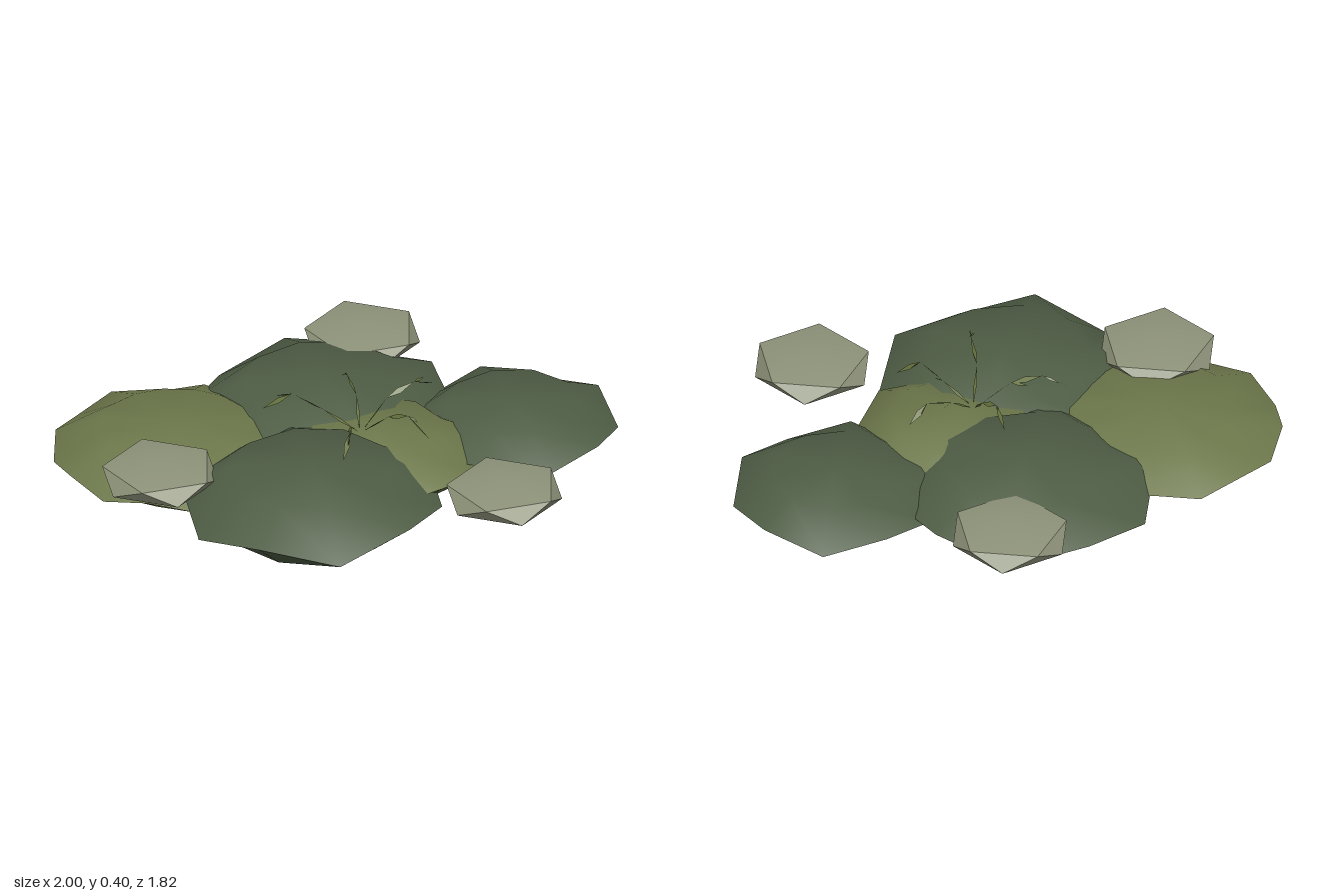
import * as THREE from 'three';
import { toCreasedNormals } from 'three/addons/utils/BufferGeometryUtils.js';

const make = (name, color, extra = {}) => {
  const m = new THREE.MeshStandardMaterial({ color, ...extra });
  m.name = name;
  return m;
};

// Flattened cushion: two smooth caps meeting at a sharp zigzag rim
function cushion({ rx, rz, h, n, phase, zig }) {
  const pos = [], idx = [];
  for (const s of [1, -1]) {
    const base = pos.length / 3;
    pos.push(0, s * h, 0);
    for (const [k, y] of [[0.63, s * h * 0.83], [1, 0]]) {
      for (let i = 0; i < n; i++) {
        const a = phase + (i / n) * Math.PI * 2;
        pos.push(Math.cos(a) * rx * k, k < 1 ? y : (i % 2 ? -zig : zig), Math.sin(a) * rz * k);
      }
    }
    const tri = (a, b, c) => (s > 0 ? idx.push(a, b, c) : idx.push(a, c, b));
    for (let i = 0; i < n; i++) {
      const j = (i + 1) % n;
      const a = base + 1 + i, b = base + 1 + j;
      tri(base, b, a);
      tri(a, b, a + n);
      tri(b, b + n, a + n);
    }
  }
  const g = new THREE.BufferGeometry();
  g.setAttribute('position', new THREE.Float32BufferAttribute(pos, 3));
  g.setIndex(idx);
  g.computeVertexNormals();
  return g;
}

// Slim diamond leaf from p to q, tilted about its length
function leaf(p, q, width, tilt) {
  const dir = q.clone().sub(p).normalize();
  const side = new THREE.Vector3(-dir.z, 0, dir.x).normalize().applyAxisAngle(dir, tilt).multiplyScalar(width / 2);
  const mid = p.clone().lerp(q, 0.45);
  const g = new THREE.BufferGeometry().setFromPoints([p, mid.clone().add(side), q, mid.clone().sub(side)]);
  g.setIndex([0, 1, 2, 0, 2, 3]);
  g.computeVertexNormals();
  return g;
}

export function createModel() {
  const model = new THREE.Group();
  const darkMoss = make('dark moss', 0x4f5d45);
  const oliveMoss = make('olive moss', 0x6d784b);
  const stone = make('pale stone', 0x8e937a);
  const sprigGreen = make('sprig green', 0x66723f, { side: THREE.DoubleSide });
  const add = (parent, name, geometry, material, x = 0, y = 0, z = 0) => {
    const mesh = new THREE.Mesh(geometry, material);
    mesh.name = name;
    mesh.position.set(x, y, z);
    parent.add(mesh);
  };

  // Overlapping moss cushions
  add(model, 'frontCushion', cushion({ rx: 0.49, rz: 0.515, h: 0.145, n: 10, phase: 0.07, zig: 0.033 }),
    darkMoss, 0.115, 0.15, 0.38);
  add(model, 'backCushion', cushion({ rx: 0.5, rz: 0.5, h: 0.135, n: 10, phase: 0, zig: 0.03 }),
    darkMoss, -0.24, 0.155, -0.2);
  add(model, 'backLeftCushion', cushion({ rx: 0.4, rz: 0.405, h: 0.108, n: 10, phase: 0, zig: 0.025 }),
    darkMoss, 0.4, 0.15, -0.53);
  add(model, 'rightCushion', cushion({ rx: 0.47, rz: 0.47, h: 0.112, n: 16, phase: Math.PI / 8, zig: 0.018 }),
    oliveMoss, -0.53, 0.14, 0.37);
  add(model, 'centreCushion', cushion({ rx: 0.41, rz: 0.4, h: 0.125, n: 10, phase: 0.3, zig: 0.025 }),
    oliveMoss, 0.12, 0.15, -0.04);

  // Flattened stones resting around the edge
  const pebble = new THREE.IcosahedronGeometry(0.246, 0);
  pebble.rotateZ(-Math.atan(2 / (1 + Math.sqrt(5))));
  pebble.scale(1, 0.28, 1);
  const stoneGeometry = toCreasedNormals(pebble, 0.6);
  const stones = { leftStone: [0.778, 0.046], backRightStone: [-0.365, -0.61], frontRightStone: [-0.365, 0.7] };
  for (const [name, [x, z]] of Object.entries(stones)) add(model, name, stoneGeometry, stone, x, 0.237, z);

  // Five arching sprigs fanning from the middle
  const sprigs = new THREE.Group();
  sprigs.name = 'sprigs';
  model.add(sprigs);
  const tips = [[0.205, -0.3, 0.36], [-0.13, -0.16, 0.35], [-0.24, 0.21, 0.335], [0.25, 0.36, 0.34], [0.41, 0.02, 0.33]];
  tips.forEach(([tx, tz, ty], arm) => {
    const at = (t, y, sway = 0) => new THREE.Vector3(
      0.09 + (tx - 0.09) * t - (tz - 0.03) * sway, y, 0.03 + (tz - 0.03) * t + (tx - 0.09) * sway);
    const sway = arm % 2 ? 0.04 : -0.04;
    const path = [at(0.05, 0.27), at(0.38, 0.36, sway), at(0.7, 0.405, -sway / 2), at(1, ty)];
    for (let i = 0; i < 3; i++) {
      add(sprigs, 'sprigBlade', leaf(path[i], path[i + 1], [0.014, 0.024, 0.024][i], i % 2 ? 0.7 : -0.5), sprigGreen);
    }
    // Small side leaf at each joint
    for (const i of [1, 2]) {
      const end = path[i].clone().lerp(path[i + 1], 0.5);
      end.y += i === 1 ? -0.015 : 0.01;
      end.x += sway * 0.4;
      end.z += sway * 0.4;
      add(sprigs, 'sprigLeaf', leaf(path[i], end, 0.012, 0.9), sprigGreen);
    }
  });
  return model;
}
